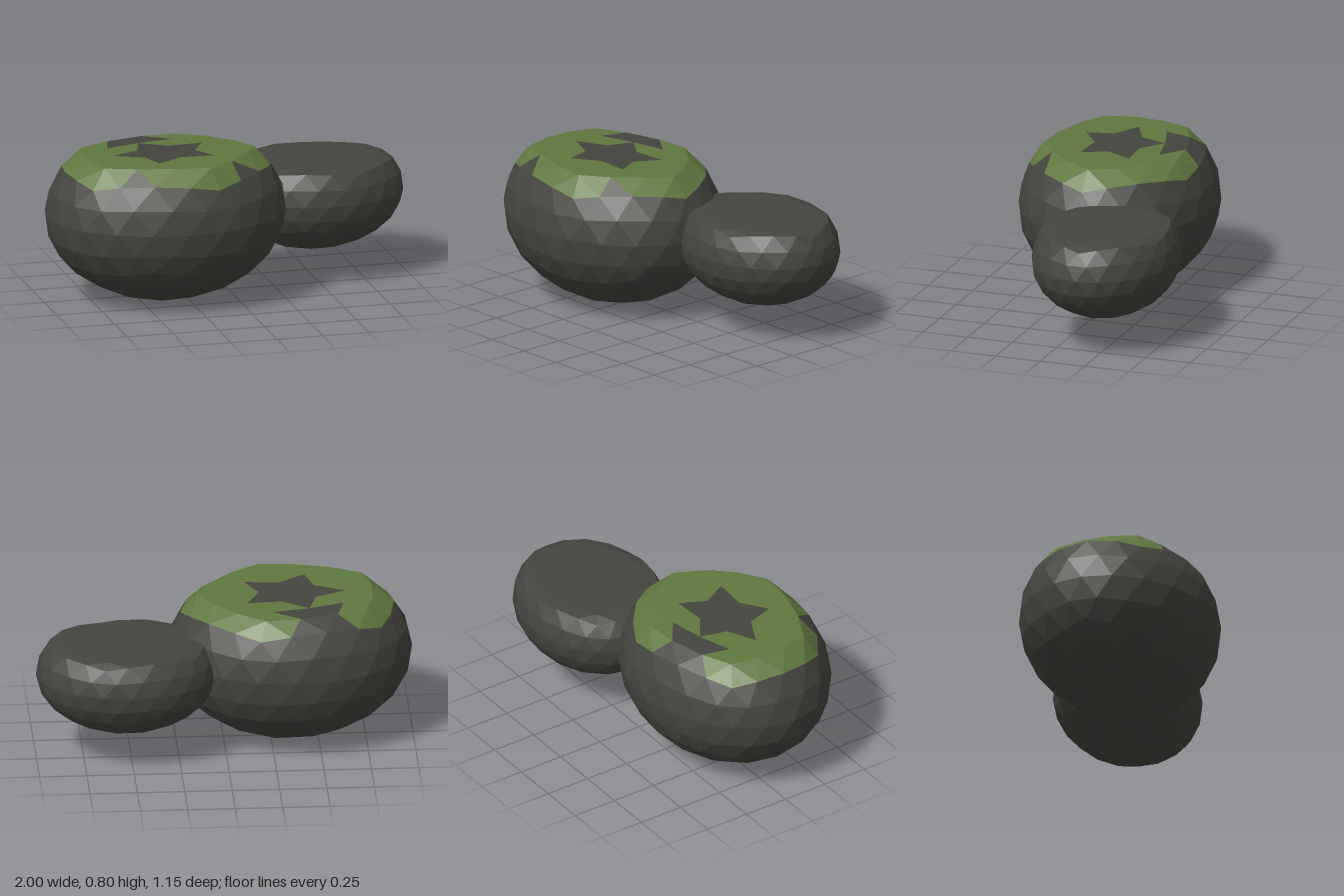
import * as THREE from 'three';

const stone = new THREE.MeshStandardMaterial({ name: 'dark stone', color: 0x454540 });
const moss = new THREE.MeshStandardMaterial({ name: 'moss green', color: 0x5f783f });

// Unit icosphere with one corner straight up and a neighbouring corner towards +x
function unitSphere() {
  return new THREE.IcosahedronGeometry(1, 3).rotateZ(-Math.atan(2 / (1 + Math.sqrt(5))));
}

// Moss forms a ring around the flat top, open at the back, with two notches at the front
function isMossy(c) {
  const angle = (THREE.MathUtils.radToDeg(Math.atan2(c.z, c.x)) + 360) % 360;
  const within = (a, b) => angle > a && angle < b;
  if (c.y < 0.48 || c.y > 0.916) return false;
  if (c.y > 0.69) return !within(230, 274);
  return !(within(238, 266) || within(112, 124) || within(42, 50));
}

function never() {
  return false;
}

// Squashed boulder with its top pressed flat; faces are sorted into stone and moss
function makeBoulder(name, center, radius, top, tilt, mossRule) {
  const source = unitSphere().getAttribute('position');
  const faces = { stone: [], moss: [] };
  for (let i = 0; i < source.count; i += 3) {
    const corners = [0, 1, 2].map((k) => new THREE.Vector3().fromBufferAttribute(source, i + k));
    const middle = new THREE.Vector3();
    corners.forEach((v) => middle.addScaledVector(v, 1 / 3));
    const list = mossRule(middle) ? faces.moss : faces.stone;
    for (const v of corners) {
      const p = v.clone().multiply(radius).add(center);
      p.y = Math.min(p.y, top);
      if (v.y > 0.6) p.y += tilt * v.z;
      list.push(p.x, p.y, p.z);
    }
  }
  const group = new THREE.Group();
  group.name = name;
  for (const [part, material] of [['stone', stone], ['moss', moss]]) {
    if (!faces[part].length) continue;
    const geometry = new THREE.BufferGeometry();
    geometry.setAttribute('position', new THREE.Float32BufferAttribute(faces[part], 3));
    geometry.computeVertexNormals();
    const mesh = new THREE.Mesh(geometry, material);
    mesh.name = name + (part === 'moss' ? 'Moss' : 'Stone');
    group.add(mesh);
  }
  return group;
}

export function createModel() {
  const model = new THREE.Group();
  model.name = 'mossyRocks';
  model.add(
    makeBoulder('largeBoulder', new THREE.Vector3(-0.355, 0.475, 0.055),
      new THREE.Vector3(0.645, 0.475, 0.52), 0.79, 0.012, isMossy),
    makeBoulder('smallBoulder', new THREE.Vector3(0.52, 0.46, -0.195),
      new THREE.Vector3(0.48, 0.315, 0.385), 0.63, 0, never),
  );
  return model;
}
